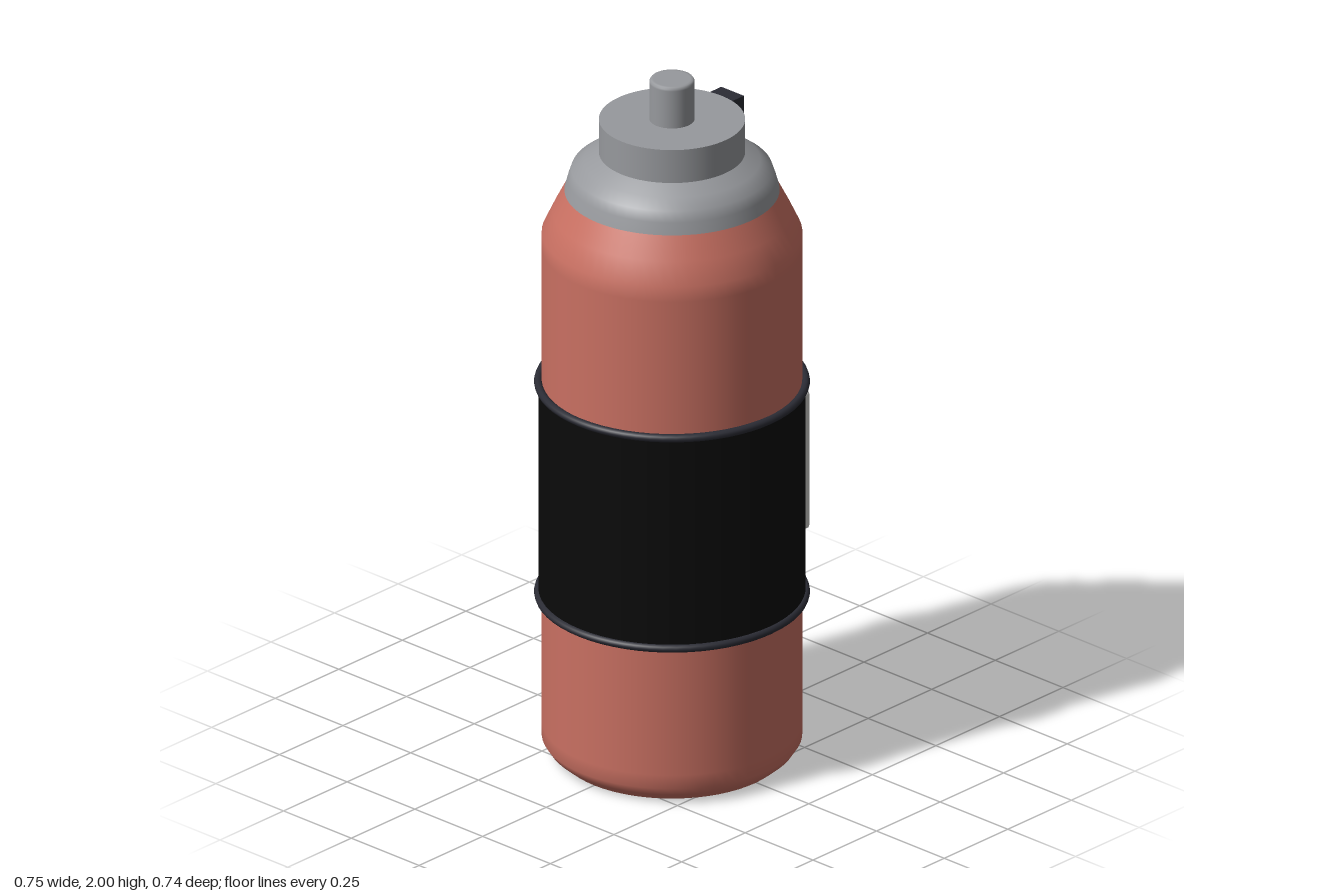
import * as THREE from 'three';
import { RoundedBoxGeometry } from 'three/addons/geometries/RoundedBoxGeometry.js';

const mat = (name, color) => {
  const m = new THREE.MeshStandardMaterial({ color });
  m.name = name;
  return m;
};

export function createModel() {
  const red = mat('red paint', 0xc97062);
  const grey = mat('grey metal', 0x97999d);
  const black = mat('black sleeve', 0x0a0a0a);
  const dark = mat('dark rubber', 0x2b2c35);
  const pale = mat('pale label', 0xd0d0cd);

  const model = new THREE.Group();
  model.name = 'bottle';
  const SIDES = 64;
  const CX = -0.005; // bottle axis, offset by the label plate

  const add = (name, geometry, material, x, y, z = 0) => {
    const mesh = new THREE.Mesh(geometry, material);
    mesh.name = name;
    mesh.position.set(x, y, z);
    model.add(mesh);
    return mesh;
  };
  const lathe = (points) =>
    new THREE.LatheGeometry(points.map(([r, y]) => new THREE.Vector2(r, y)), SIDES);

  // Body with chamfered foot and tapered shoulder
  add('body', lathe([
    [0.306, 0], [0.335, 0.025], [0.351, 0.05], [0.351, 0.09],
    [0.351, 1.5], [0.351, 1.545], [0.322, 1.607], [0.29, 1.67],
  ]), red, CX, 0);
  const base = add('base', new THREE.CircleGeometry(0.306, SIDES), red, CX, 0);
  base.rotation.x = Math.PI / 2;

  // Cap: sloping collar, neck and button
  add('capCollar', lathe([
    [0.29, 1.67], [0.281, 1.703], [0.271, 1.733], [0.238, 1.758], [0.197, 1.782],
  ]), grey, CX, 0);
  add('capNeck', new THREE.CylinderGeometry(0.197, 0.197, 0.11, SIDES), grey, CX, 1.825);
  add('button', lathe([
    [0.061, 1.87], [0.061, 1.99], [0.0605, 1.995], [0.057, 2], [0.05, 2], [0, 2],
  ]), grey, CX, 0);

  // Latch on the side of the cap
  add('latch', new THREE.BoxGeometry(0.045, 0.105, 0.083), dark, 0.211, 1.827);

  // Sleeve with a rubber ring at each end
  add('sleeve', new THREE.CylinderGeometry(0.36, 0.36, 0.63, SIDES), black, CX, 0.785);
  for (const [name, y] of [['lowerRing', 0.473], ['upperRing', 1.099]]) {
    const ring = add(name, new THREE.TorusGeometry(0.36, 0.0115, 10, SIDES), dark, CX, y);
    ring.rotation.x = Math.PI / 2;
  }

  // Label plate on the left side
  add('labelPlate', new RoundedBoxGeometry(0.038, 0.41, 0.312, 2, 0.01), pale, 0.356, 0.785);

  return model;
}
